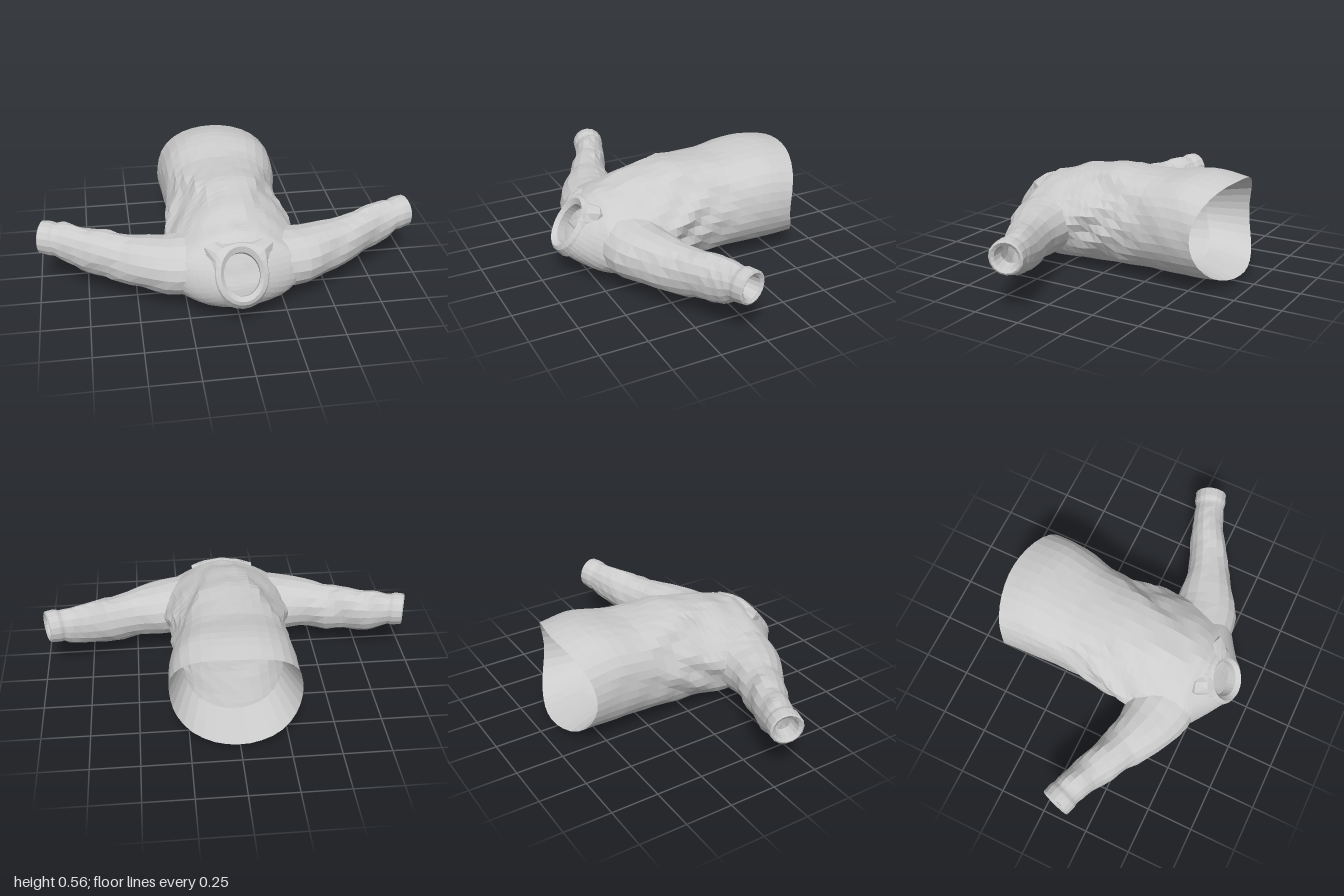
import * as THREE from 'three';

const fabric = new THREE.MeshStandardMaterial({ color: 0xcccccc, flatShading: true, side: THREE.DoubleSide });
const { smoothstep } = THREE.MathUtils;
const bell = (x, mid, width) => Math.exp(-(((x - mid) / width) ** 2));

// Smooth repeatable cloth ripple in roughly -1..1
const ripple = (x, y, z) =>
  0.5 * Math.sin(17 * x + 9 * z + 2 * Math.sin(11 * y)) +
  0.3 * Math.sin(31 * z - 23 * y + 5 * x) + 0.2 * Math.sin(47 * x + 39 * y - 29 * z);

// Skin over (rows + 1) closed rings; point(u, angle) gives each vertex
function loft(name, rows, sides, point) {
  const pos = [], idx = [];
  for (let i = 0; i <= rows; i++)
    for (let j = 0; j < sides; j++) {
      const p = point(i / rows, (j / sides) * Math.PI * 2);
      pos.push(p.x, p.y, p.z);
    }
  for (let i = 0; i < rows; i++)
    for (let j = 0; j < sides; j++) {
      const a = i * sides + j, b = i * sides + (j + 1) % sides;
      const c = a + sides, d = b + sides;
      idx.push(a, c, b, b, c, d);
    }
  const g = new THREE.BufferGeometry();
  g.setAttribute('position', new THREE.Float32BufferAttribute(pos, 3));
  g.setIndex(idx);
  g.computeVertexNormals();
  const mesh = new THREE.Mesh(g, fabric);
  mesh.name = name;
  return mesh;
}

// Smooth interpolation of six-number table rows
function table(rows) {
  const curve = k => new THREE.CatmullRomCurve3(
    rows.map(r => new THREE.Vector3(r[k], r[k + 1], r[k + 2])), false, 'catmullrom', 0.4);
  const a = curve(0), b = curve(3);
  return u => [...a.getPoint(u).toArray(), ...b.getPoint(u).toArray()];
}

// Torso from neck to hem: z, centre y, half width, half height, tilt, centre x
const torsoAt = table([
  [0.59, 0.305, 0.115, 0.115, 0.085, 0],
  [0.54, 0.28, 0.21, 0.155, 0.07, 0],
  [0.48, 0.265, 0.31, 0.19, 0.045, 0],
  [0.39, 0.25, 0.355, 0.22, 0.02, 0],
  [0.28, 0.255, 0.355, 0.245, 0, 0],
  [0.14, 0.27, 0.33, 0.255, 0, 0],
  [0, 0.282, 0.312, 0.262, 0, 0],
  [-0.2, 0.28, 0.302, 0.258, 0, 0.003],
  [-0.4, 0.298, 0.322, 0.27, 0, 0.015],
  [-0.56, 0.292, 0.33, 0.25, 0, 0.015],
]);

function torsoPoint(u, ang) {
  const [z0, cy, hx, hy, tilt, cx] = torsoAt(u);
  const c = Math.cos(ang), s = Math.sin(ang);
  // hem swings back at chest and back, leaving side notches
  const hem = smoothstep(u, 0.6, 1);
  const z = z0 - tilt * s - hem * ((s > 0 ? 0.095 : 0.118) * s * s - 0.015 * c);
  const calm = Math.min(1, u * 5);
  const corner = 4 * c * c * s * s;
  let k = 1 + calm * 0.024 * ripple(c * hx, s * hy, z) * (1 - 0.6 * hem);
  // fuller corners on the back and towards the hem
  k += corner * (s > 0 ? 0.07 * smoothstep(u, 0.5, 0.9) : 0.055 * calm);
  if (s > 0) {
    // raised chest panel narrows to the neck; cloth drops away beside it
    const d = Math.abs(c * hx) - 0.36 * (0.45 - z);
    const span = calm * smoothstep(z, -0.4, -0.05);
    k -= 0.085 * span * corner * smoothstep(d, -0.02, 0.07);
    k += 0.03 * calm * (1 - hem) * s * bell(d, 0, 0.03);
  }
  // slanting folds below the arms
  const fold = bell(z, 0.03, 0.2) * Math.abs(c) ** 3;
  k += 0.045 * fold * Math.sin(38 * (cy + s * hy) + 24 * z);
  return new THREE.Vector3(cx + c * hx * k, Math.max(0, cy + s * hy * k), z);
}

// Lining turned in from the hem, tapering to a smaller inner opening
function hemPoint(u, ang) {
  const p = torsoPoint(1, ang);
  const k = 1 - 0.22 * u;
  return new THREE.Vector3(0.015 + (p.x - 0.015) * k, 0.292 + (p.y - 0.292) * k, p.z + 0.22 * u);
}

// Sleeve from shoulder to wrist: x, y, z, horizontal radius, vertical radius, wrinkle strength
const sleeveAt = table([
  [0.19, 0.24, 0.35, 0.175, 0.15, 0],
  [0.33, 0.235, 0.33, 0.172, 0.147, 0.4],
  [0.5, 0.235, 0.275, 0.127, 0.132, 0.7],
  [0.64, 0.243, 0.212, 0.102, 0.127, 1],
  [0.77, 0.257, 0.15, 0.088, 0.118, 1],
  [0.86, 0.279, 0.112, 0.083, 0.102, 0.9],
  [0.9, 0.29, 0.1, 0.079, 0.088, 0.4],
  [0.925, 0.295, 0.092, 0.086, 0.092, 0.2],
  [0.971, 0.299, 0.078, 0.084, 0.086, 0],
]);

function sleevePoint(side, u, ang) {
  const [x, y, z, rh, rv, w] = sleeveAt(u);
  const n = sleeveAt(Math.min(1, u + 0.02)), p = sleeveAt(Math.max(0, u - 0.02));
  const t = new THREE.Vector3(n[0] - p[0], 0, n[2] - p[2]).normalize();
  const f = side * Math.cos(ang), s = Math.sin(ang);
  const k = 1 + 0.09 * w * ripple(x * 1.6 * side, y + s * 0.12, z + f * side * 0.15);
  return new THREE.Vector3(side * (x - t.z * f * rh * k), y + s * rv * k, z + t.x * f * rh * k);
}

// Wrist edge with a narrower lining behind it: distance along arm, radius
const cuffProfile = [[0, 0.086], [0.006, 0.076], [-0.004, 0.06], [-0.07, 0.05]];

function cuffPoint(side, u, ang) {
  const [d, r] = cuffProfile[Math.round(u * 3)];
  const c = side * Math.cos(ang), s = Math.sin(ang);
  const tx = 0.952, tz = -0.305;
  return new THREE.Vector3(side * (0.971 + tx * d - tz * c * r), 0.299 + s * r, 0.078 + tz * d + tx * c * r);
}

// Collar from inner lining over the lip to the outer band: half width, half height, offset along the neck
const collarProfile = [
  [0.095, 0.105, -0.05], [0.09, 0.108, 0], [0.108, 0.136, 0.02],
  [0.13, 0.152, 0.005], [0.152, 0.168, -0.045], [0.15, 0.16, -0.075],
];

function collarPoint(u, ang) {
  const i = Math.round(u * 5);
  const [hx, h, d] = collarProfile[i];
  const c = Math.cos(ang), s = Math.sin(ang);
  // outer band widens and lifts into two points on the chest side
  const wing = (i > 3 ? 1 : i > 2 ? 0.4 : 0) * bell(s, 0.65, 0.22);
  const k = 1 + 0.32 * wing;
  return new THREE.Vector3(
    c * hx * k * (1 + 0.1 * wing),
    0.3 + s * h * 0.82 * k + d * 0.57 + 0.02 * wing,
    0.585 - s * h * 0.57 * k + d * 0.82 + 0.01 * wing);
}

export function createModel() {
  const group = new THREE.Group();
  group.name = 'shirt';
  group.add(loft('torso', 32, 36, torsoPoint));
  group.add(loft('hemLining', 2, 36, hemPoint));
  group.add(loft('collar', 5, 28, collarPoint));
  for (const [side, label] of [[1, 'left'], [-1, 'right']]) {
    group.add(loft(label + 'Sleeve', 24, 16, (u, a) => sleevePoint(side, u, a * side)));
    group.add(loft(label + 'Cuff', 3, 16, (u, a) => cuffPoint(side, u, a * side)));
  }
  return group;
}
